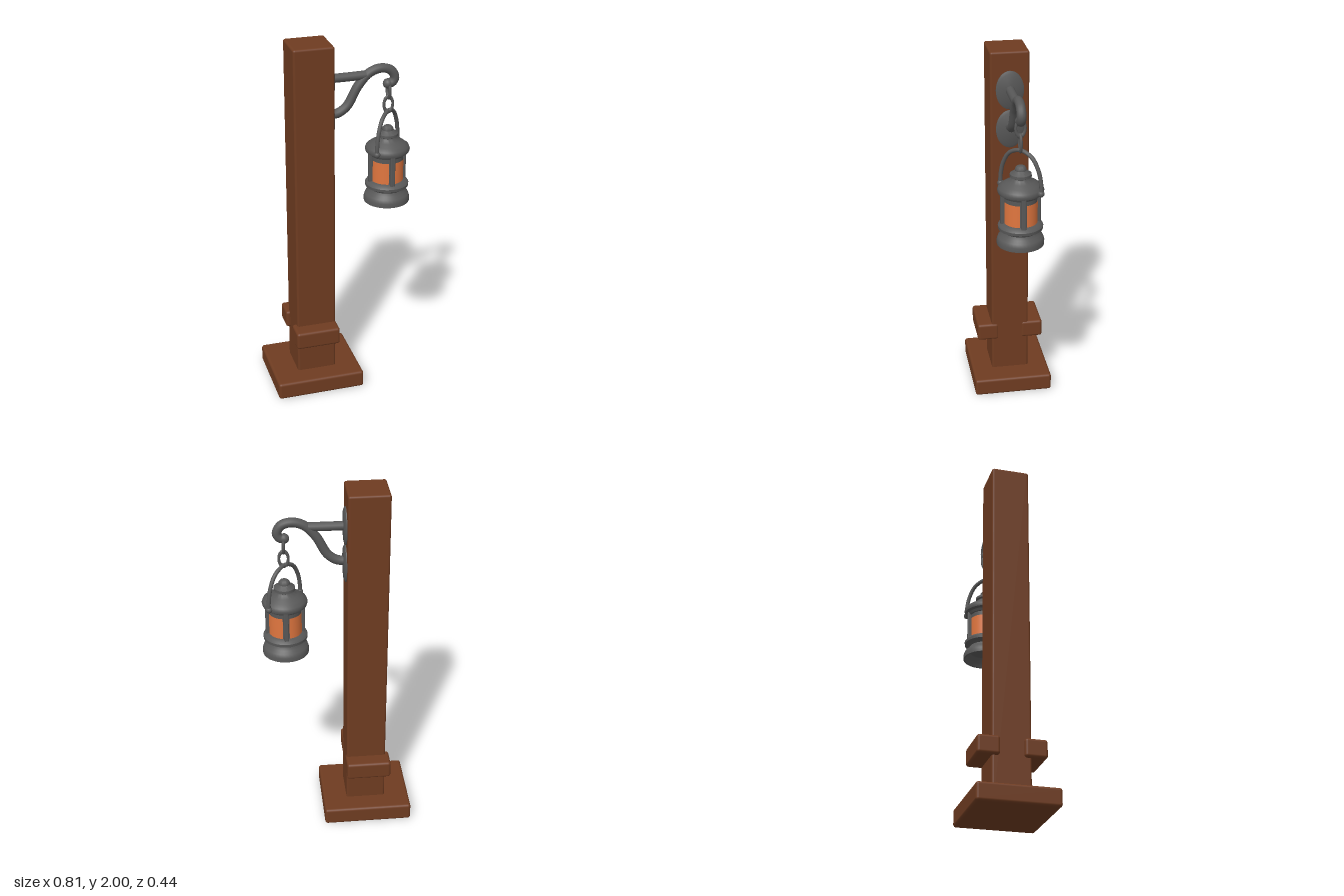
import * as THREE from 'three';
import { toCreasedNormals } from 'three/addons/utils/BufferGeometryUtils.js';
import { RoundedBoxGeometry } from 'three/addons/geometries/RoundedBoxGeometry.js';

const material = (name, color, side = THREE.FrontSide) => {
  const m = new THREE.MeshStandardMaterial({ color, side });
  m.name = name;
  return m;
};

export function createModel() {
  const wood = material('wood', 0x6f3c21);
  const iron = material('iron', 0x585858);
  const glass = material('amberGlass', 0xe0763f, THREE.DoubleSide);
  const model = new THREE.Group();
  model.name = 'lanternPost';

  const add = (parent, name, geometry, mat, x = 0, y = 0, z = 0) => {
    const mesh = new THREE.Mesh(geometry, mat);
    mesh.name = name;
    mesh.position.set(x, y, z);
    parent.add(mesh);
    return mesh;
  };
  // Rounded block from its min and max corners
  const block = (name, a, b, r) => add(model, name,
    new RoundedBoxGeometry(b[0] - a[0], b[1] - a[1], b[2] - a[2], 3, r), wood,
    (a[0] + b[0]) / 2, (a[1] + b[1]) / 2, (a[2] + b[2]) / 2);
  const tube = (parent, name, points, r, segments = 40) => add(parent, name,
    new THREE.TubeGeometry(new THREE.CatmullRomCurve3(points.map(p => new THREE.Vector3(...p))), segments, r, 12),
    iron);
  const lathe = points => toCreasedNormals(
    new THREE.LatheGeometry(points.map(p => new THREE.Vector2(...p)), 40), 0.7);

  // Wooden post
  block('basePlate', [-0.405, 0, -0.22], [0.09, 0.098, 0.22], 0.015);
  block('post', [-0.265, 0.05, -0.105], [-0.045, 2, 0.105], 0.012);
  block('frontBrace', [-0.287, 0.288, 0.065], [-0.04, 0.388, 0.186], 0.015);
  block('backBrace', [-0.287, 0.288, -0.187], [-0.04, 0.388, -0.065], 0.015);

  // Oval wall plates, domed
  for (const [name, y] of [['upperPlate', 1.793], ['lowerPlate', 1.578]]) {
    const plate = add(model, name, lathe([[0, -0.01], [1, -0.01], [1, 0.005], [0.85, 0.012], [0, 0.016]]),
      iron, -0.045, y, 0);
    plate.rotation.z = -Math.PI / 2;
    plate.scale.set(0.105, 1, 0.075);
  }

  // Bracket: straight bar and S-shaped hook
  tube(model, 'bracketBar', [[-0.05, 1.795, 0], [0.05, 1.795, 0], [0.17, 1.797, 0]], 0.024, 12);
  tube(model, 'bracketHook', [[-0.05, 1.595, 0], [0.0, 1.6, 0], [0.05, 1.635, 0], [0.11, 1.74, 0],
    [0.17, 1.805, 0], [0.235, 1.826, 0], [0.29, 1.81, 0], [0.312, 1.77, 0], [0.298, 1.742, 0], [0.275, 1.737, 0]], 0.025, 60);
  add(model, 'hookTip', new THREE.SphereGeometry(0.027, 16, 12), iron, 0.275, 1.737, 0);

  // Hanging chain
  [[1.7, Math.PI / 2], [1.62, 0]].forEach(([y, turn], i) => {
    const link = add(model, `chainLink${i + 1}`, new THREE.TorusGeometry(0.026, 0.008, 10, 24), iron, 0.28, y, 0);
    link.scale.set(0.95, 1.6, 1);
    link.rotation.y = turn;
  });

  const lantern = new THREE.Group();
  lantern.name = 'lantern';
  lantern.position.set(0.28, 0, -0.002);
  model.add(lantern);

  // Hollow-bottomed base with flange
  add(lantern, 'lanternBase', lathe([[0, 1.115], [0.085, 1.11], [0.106, 1.085], [0.115, 1.062], [0.125, 1.062],
    [0.125, 1.085], [0.118, 1.105], [0.1, 1.118], [0.092, 1.135], [0.104, 1.145], [0.118, 1.152],
    [0.119, 1.168], [0.11, 1.18], [0.088, 1.186], [0, 1.186]]), iron);

  // Inner body, curved panes and uprights
  add(lantern, 'lanternBody', new THREE.CylinderGeometry(0.086, 0.086, 0.19, 40), iron, 0, 1.265, 0);
  for (let i = 0; i < 4; i++) {
    const a = i * Math.PI / 2;
    add(lantern, `pane${i + 1}`,
      new THREE.CylinderGeometry(0.089, 0.089, 0.122, 16, 1, true, a + 0.2, Math.PI / 2 - 0.4), glass, 0, 1.248, 0);
    const x = Math.sin(a) * 0.094, z = Math.cos(a) * 0.094;
    const upright = add(lantern, `upright${i + 1}`, new RoundedBoxGeometry(0.026, 0.2, 0.024, 2, 0.006), iron, x, 1.268, z);
    upright.rotation.y = a;
  }

  // Stepped roof and finial
  add(lantern, 'lanternRoof', lathe([[0, 1.335], [0.095, 1.335], [0.102, 1.348], [0.118, 1.354], [0.122, 1.368],
    [0.116, 1.384], [0.095, 1.4], [0.07, 1.415], [0.05, 1.428], [0.047, 1.436], [0.057, 1.442], [0.056, 1.456],
    [0.04, 1.466], [0.03, 1.474], [0.03, 1.484], [0.022, 1.495], [0.01, 1.501], [0, 1.502]]), iron);

  // Carrying handle set diagonally
  const handle = new THREE.Group();
  handle.name = 'handle';
  handle.rotation.y = 0.8;
  lantern.add(handle);
  tube(handle, 'handleBow', [[-0.128, 1.372, 0], [-0.126, 1.42, 0], [-0.11, 1.49, 0], [-0.07, 1.555, 0],
    [0, 1.582, 0], [0.07, 1.555, 0], [0.11, 1.49, 0], [0.126, 1.42, 0], [0.128, 1.372, 0]], 0.011, 48);
  for (const s of [-1, 1]) {
    add(handle, s < 0 ? 'rightPivot' : 'leftPivot', new THREE.SphereGeometry(0.018, 16, 12), iron, s * 0.126, 1.372, 0);
  }
  return model;
}
